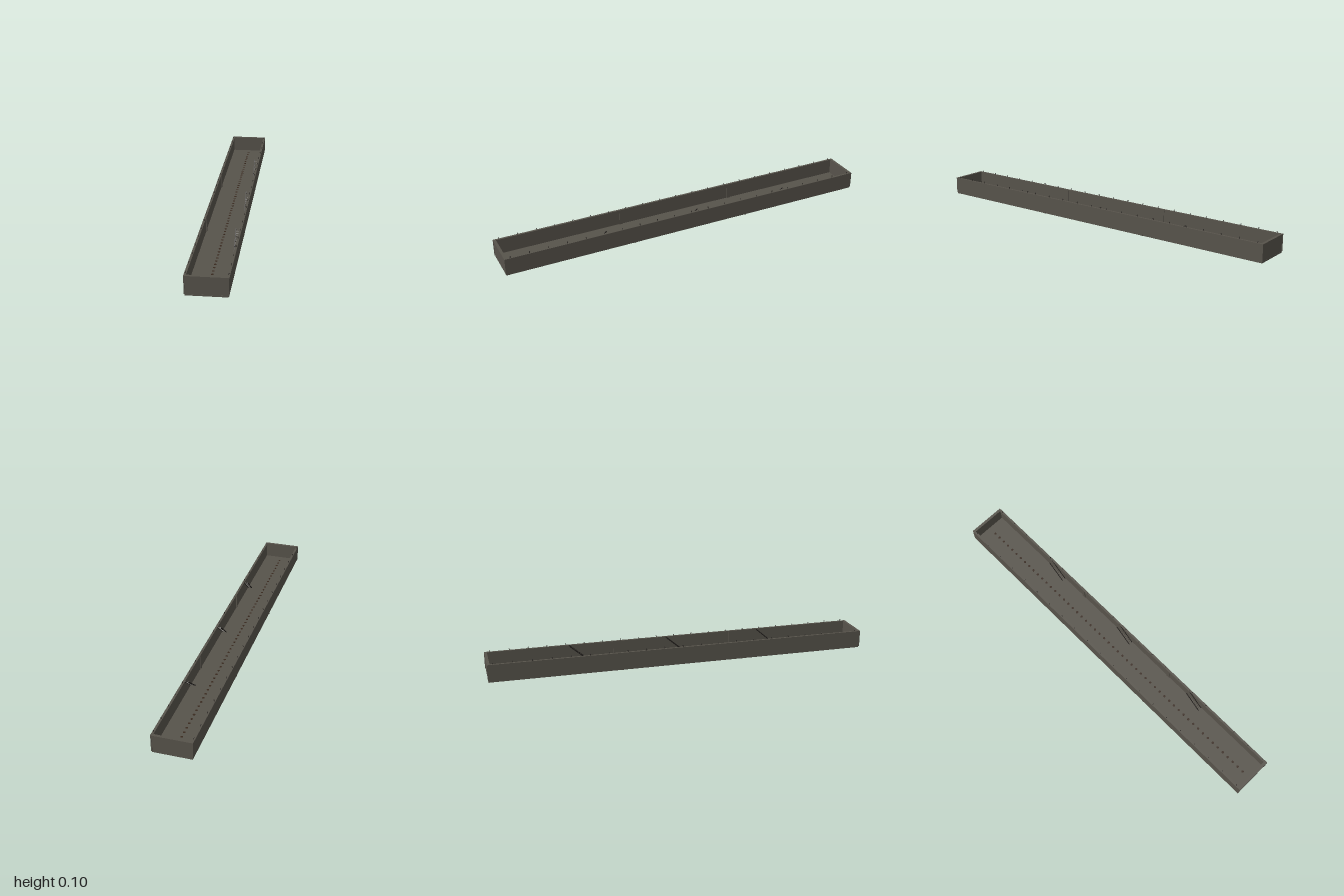
import * as THREE from 'three';

export function createModel() {
  const model = new THREE.Group();
  model.name = 'openTroughBody';
  const mat = (name, color) => {
    const m = new THREE.MeshStandardMaterial({ color });
    m.name = name;
    return m;
  };
  const steel = mat('weathered steel', 0x57534b);
  const dark = mat('dark iron', 0x24211e);
  const rust = mat('rusty hole', 0x38291e);

  const add = (name, geometry, material, x, y, z, parent = model) => {
    const mesh = new THREE.Mesh(geometry, material);
    mesh.name = name;
    mesh.position.set(x, y, z);
    parent.add(mesh);
    return mesh;
  };
  const box = (name, w, h, d, x, y, z, material = steel, parent = model) =>
    add(name, new THREE.BoxGeometry(w, h, d), material, x, y, z, parent);

  // Floor slab, slightly inset under the walls
  box('floor', 0.19, 0.01, 1.984, 0, 0.005, 0);

  // End walls with a thin top rail and a lower sill
  for (const s of [-1, 1]) {
    box('endWall', 0.19, 0.084, 0.008, 0, 0.05, s * 0.994);
    box('endSill', 0.192, 0.007, 0.006, 0, 0.0035, s * 0.994);
    box('endRail', 0.192, 0.004, 0.014, 0, 0.092, s * 0.993);
  }

  for (const s of [-1, 1]) {
    // Side wall and its top rail
    box('sideWall', 0.006, 0.084, 2, s * 0.096, 0.05, 0);
    box('sideRail', 0.011, 0.004, 2, s * 0.0945, 0.092, 0);

    // Vertical joint ribs inside, joint blocks below the lip
    for (const z of [-0.32, 0.32]) {
      box('wallRib', 0.005, 0.082, 0.018, s * 0.0915, 0.05, z);
      box('jointBlock', 0.004, 0.008, 0.012, s * 0.096, 0.004, z);
    }

    // Tie-down hooks along the rail
    const hooks = new THREE.Group();
    hooks.name = 'tieHooks';
    model.add(hooks);
    for (let i = -10; i <= 10; i++) {
      const z = i * 0.097;
      add('hookPin', new THREE.CylinderGeometry(0.0014, 0.0014, 0.009, 6), dark, s * 0.094, 0.0975, z, hooks);
      add('hookKnob', new THREE.SphereGeometry(0.0024, 8, 6), dark, s * 0.094, 0.1015, z, hooks);
    }
  }

  // Slanted ladders leaning along the left inner wall
  const run = 0.095, rise = 0.082;
  const length = Math.hypot(run, rise);
  for (const z of [-0.565, -0.045, 0.465]) {
    const ladder = new THREE.Group();
    ladder.name = 'innerLadder';
    ladder.position.set(0.081, 0.052, z + run / 2);
    ladder.rotation.x = Math.atan2(rise, run);
    model.add(ladder);
    for (const s of [-1, 1])
      box('ladderStile', 0.003, 0.005, length, s * 0.0095, 0, 0, dark, ladder);
    for (let i = -4; i <= 4; i++)
      box('ladderRung', 0.018, 0.002, 0.004, 0, 0, i * length / 10, steel, ladder);
  }

  // Row of drain holes along the floor centre
  const holes = new THREE.Group();
  holes.name = 'drainHoles';
  model.add(holes);
  for (let i = 0; i < 55; i++)
    add('drainHole', new THREE.CylinderGeometry(0.0065, 0.0065, 0.001, 10), rust,
      0, 0.0102, -0.94 + i * 1.88 / 54, holes);

  return model;
}
